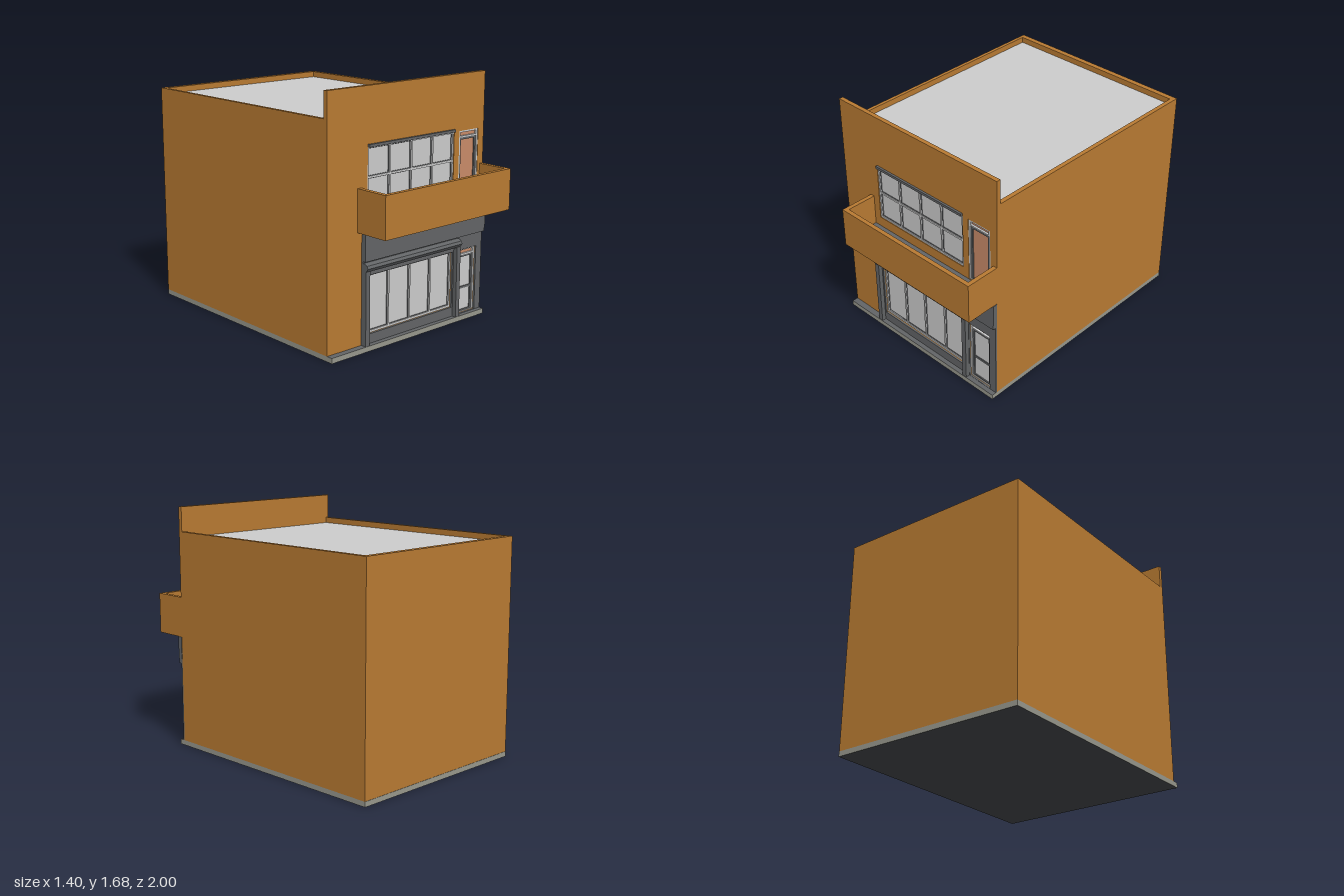
import * as THREE from 'three';

const paint = (color) => new THREE.MeshStandardMaterial({ color });
const BROWN = paint(0xb87a32), DARK = paint(0x626466), DEEP = paint(0x434547);
const GREY = paint(0xcccccc), FRAME = paint(0xc2c2be), STONE = paint(0x97978c), ORANGE = paint(0xc98b69);

// Box given by its limits on each axis
function block(parent, name, mat, x0, x1, y0, y1, z0, z1) {
  const mesh = new THREE.Mesh(new THREE.BoxGeometry(x1 - x0, y1 - y0, z1 - z0), mat);
  mesh.position.set((x0 + x1) / 2, (y0 + y1) / 2, (z0 + z1) / 2);
  mesh.name = name;
  parent.add(mesh);
  return mesh;
}

function outline(Type, [x0, x1, y0, y1]) {
  const p = new Type();
  p.moveTo(x0, y0);
  p.lineTo(x1, y0);
  p.lineTo(x1, y1);
  p.lineTo(x0, y1);
  p.closePath();
  return p;
}

// Upright slab pierced by rectangular openings
function slab(parent, name, mat, rect, holes, z0, z1) {
  const shape = outline(THREE.Shape, rect);
  holes.forEach((h) => shape.holes.push(outline(THREE.Path, h)));
  const geo = new THREE.ExtrudeGeometry(shape, { depth: z1 - z0, bevelEnabled: false });
  const mesh = new THREE.Mesh(geo, mat);
  mesh.position.z = z0;
  mesh.name = name;
  parent.add(mesh);
}

// Frame with a grid of panes; rows lists the pane limits in y
function makeWindow(name, [x0, x1, y0, y1], rows) {
  const g = new THREE.Group();
  g.name = name;
  const panes = [], n = 4, edge = 0.012, step = (x1 - x0 - edge) / n;
  for (const [b, t] of rows) {
    for (let i = 0; i < n; i++) {
      const left = x0 + edge + i * step;
      panes.push([left, left + step - edge, b, t]);
    }
  }
  slab(g, 'windowFrame', FRAME, [x0, x1, y0, y1], panes, 0.728, 0.75);
  // Thin dark bead around every pane
  for (const [a, b, c, d] of panes) {
    slab(g, 'paneBead', DARK, [a, b, c, d], [[a + 0.003, b - 0.003, c + 0.003, d - 0.003]], 0.73, 0.744);
  }
  block(g, 'glass', GREY, x0 + 0.004, x1 - 0.004, y0 + 0.004, y1 - 0.004, 0.726, 0.738);
  return g;
}

// Framed door with a transom light, built up from its foot
function makeDoor(name, [x0, x1, y0, y1], panel, midRail) {
  const g = new THREE.Group();
  g.name = name;
  const leaf = [x0 + 0.013, x1 - 0.013, y0 + 0.004, y1 - 0.046];
  const transom = [x0 + 0.016, x1 - 0.016, y1 - 0.036, y1 - 0.012];
  slab(g, 'doorFrame', FRAME, [x0, x1, y0, y1], [leaf, transom], 0.728, 0.752);
  block(g, 'transomLight', ORANGE, ...transom, 0.727, 0.738);
  const inner = [leaf[0] + 0.014, leaf[1] - 0.014, leaf[2] + 0.01, leaf[3] - 0.016];
  slab(g, 'doorLeaf', DARK, leaf, [inner], 0.728, 0.746);
  block(g, 'doorPanel', panel, ...inner, 0.727, 0.738);
  if (midRail) block(g, 'doorRail', DARK, inner[0], inner[1], y0 + 0.165, y0 + 0.18, 0.73, 0.744);
  return g;
}

export function createModel() {
  const model = new THREE.Group();
  model.name = 'building';

  // Openings as [x0, x1, y0, y1]
  const shopWindow = [-0.367, 0.411, 0.1, 0.49], shopDoor = [0.46, 0.645, 0.037, 0.49];
  const upperWindow = [-0.367, 0.411, 0.915, 1.305], upperDoor = [0.46, 0.645, 0.85, 1.305];

  // Base with lighter edges
  const base = block(model, 'base', STONE, -0.7, 0.7, 0, 0.035, -1, 0.8);
  base.material = [STONE, STONE, DARK, DEEP, STONE, STONE];

  // Main volume, roof and rim
  block(model, 'body', BROWN, -0.7, 0.7, 0.035, 1.47, -0.998, 0.725);
  block(model, 'roof', GREY, -0.676, 0.67, 1.465, 1.475, -0.96, 0.725);
  block(model, 'backRim', BROWN, -0.7, 0.7, 1.47, 1.515, -0.998, -0.96);
  block(model, 'rightRim', BROWN, -0.7, -0.676, 1.47, 1.515, -0.96, 0.725);
  block(model, 'leftRim', BROWN, 0.67, 0.7, 1.47, 1.515, -0.96, 0.725);
  slab(model, 'frontWall', BROWN, [-0.7, 0.7, 0.035, 1.685],
    [shopWindow, shopDoor, upperWindow, upperDoor], 0.725, 0.755);

  // Windows and doors
  model.add(makeWindow('shopWindow', shopWindow, [[0.114, 0.481]]));
  model.add(makeWindow('upperWindow', upperWindow, [[0.928, 1.107], [1.12, 1.296]]));
  model.add(makeDoor('shopDoor', shopDoor, GREY, true));
  model.add(makeDoor('balconyDoor', upperDoor, ORANGE, false));
  block(model, 'upperLintel', DARK, -0.365, 0.411, 1.306, 1.324, 0.75, 0.77);

  // Balcony
  const balcony = new THREE.Group();
  balcony.name = 'balcony';
  model.add(balcony);
  block(balcony, 'balconyBottom', BROWN, -0.45, 0.7, 0.78, 0.83, 0.755, 1);
  block(balcony, 'balconyFloor', DARK, -0.42, 0.67, 0.83, 0.845, 0.755, 0.97);
  block(balcony, 'balconyFront', BROWN, -0.45, 0.7, 0.83, 1.06, 0.97, 1);
  block(balcony, 'balconyRightSide', BROWN, -0.45, -0.42, 0.83, 1.06, 0.755, 0.97);
  block(balcony, 'balconyLeftSide', BROWN, 0.67, 0.7, 0.83, 1.06, 0.755, 0.97);

  // Shopfront
  const shop = new THREE.Group();
  shop.name = 'shopfront';
  model.add(shop);
  slab(shop, 'shopPanel', DARK, [-0.413, 0.7, 0.035, 0.78], [shopWindow, shopDoor], 0.755, 0.767);
  block(shop, 'fascia', DARK, -0.413, 0.7, 0.59, 0.78, 0.767, 0.79);
  block(shop, 'fasciaEnd', DARK, 0.7, 0.704, 0.625, 0.78, 0.757, 0.79);
  for (const x of [-0.413, 0.422]) block(shop, 'pilaster', DARK, x, x + 0.035, 0.035, 0.53, 0.767, 0.797);

  // Cornice with a sloping front, swept along x
  const profile = new THREE.Shape([[0.767, 0.525], [0.795, 0.525], [0.814, 0.55], [0.805, 0.568], [0.785, 0.578], [0.767, 0.578]]
    .map(([z, y]) => new THREE.Vector2(-z, y)));
  const cornice = new THREE.Mesh(new THREE.ExtrudeGeometry(profile, { depth: 0.868, bevelEnabled: false }), DARK);
  cornice.rotation.y = Math.PI / 2;
  cornice.position.x = -0.413;
  cornice.name = 'cornice';
  shop.add(cornice);
  return model;
}
